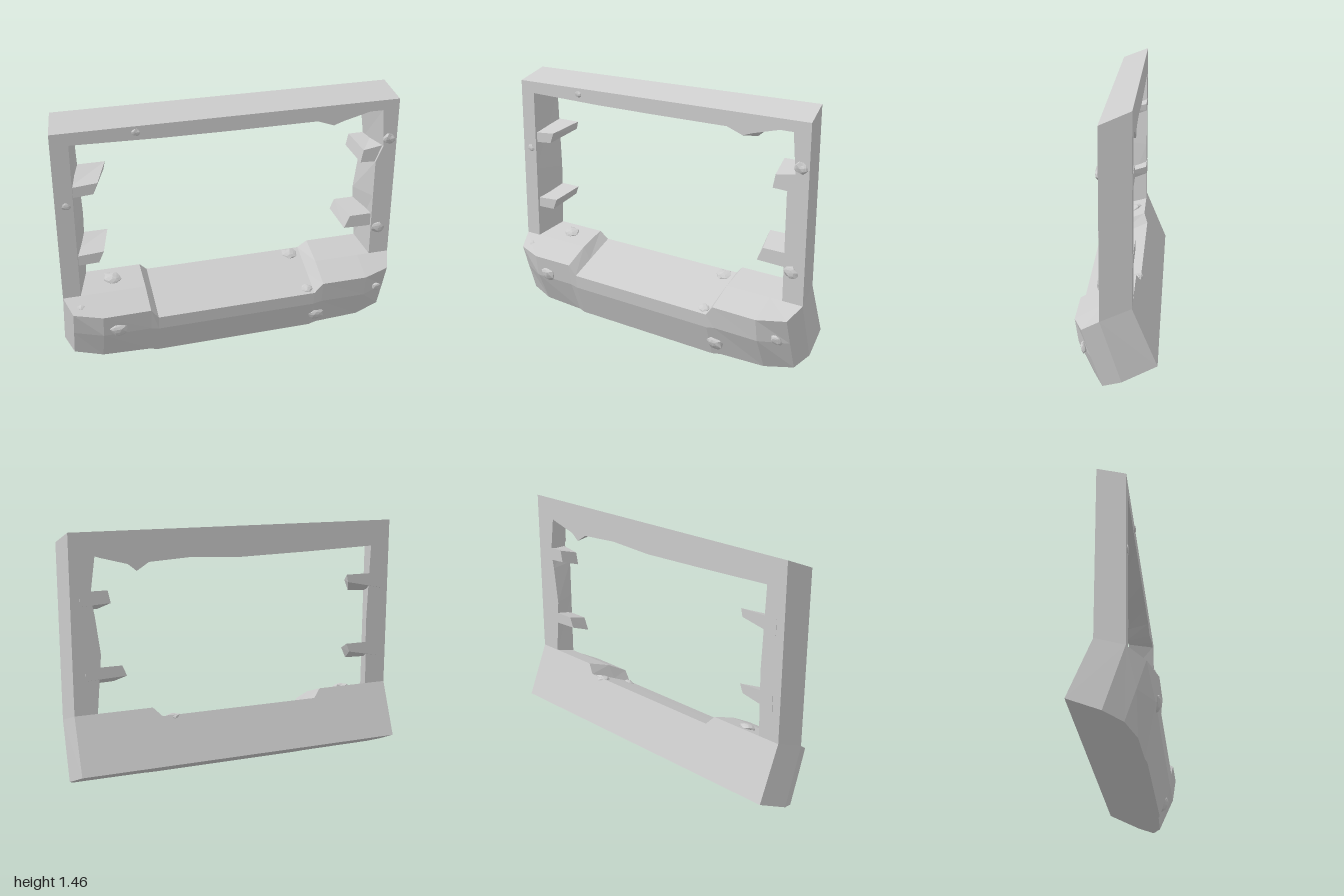
import * as THREE from 'three';

const material = new THREE.MeshStandardMaterial({ color: 0xcccccc, flatShading: true });

// Skin a row of equal-sized closed sections [[x, y, z], ...], optionally capping both ends
function loft(name, sections, capped = true) {
  const pos = [];
  const tri = (...corners) => corners.forEach((p) => pos.push(...p));
  const n = sections[0].length;
  for (let s = 0; s + 1 < sections.length; s++) {
    const p = sections[s], q = sections[s + 1];
    for (let i = 0; i < n; i++) {
      const j = (i + 1) % n;
      tri(p[i], p[j], q[j]);
      tri(p[i], q[j], q[i]);
    }
  }
  if (capped) {
    const first = sections[0], last = sections[sections.length - 1];
    for (let k = 2; k < n; k++) {
      const a = k, b = (k + 1) % n;
      tri(last[1], last[a], last[b]);
      tri(first[1], first[b], first[a]);
    }
  }
  const geometry = new THREE.BufferGeometry();
  geometry.setAttribute('position', new THREE.Float32BufferAttribute(pos, 3));
  geometry.computeVertexNormals();
  const mesh = new THREE.Mesh(geometry, material);
  mesh.name = name;
  return mesh;
}

// Tilted base: sections along x, with a shallow recess in the middle of the top
function makeBase() {
  const section = (x, notched, ft, fm, fb, frontX = x, backX = x) => {
    const bt = notched ? [0.42, -0.111] : [0.47, -0.09];
    const mt = notched ? [0.335, 0.07] : [0.41, 0.07];
    return [
      [backX, ...bt], [x, ...mt], [frontX, ...ft], [frontX, ...fm],
      [frontX, ...fb], [x, 0.08, -0.04], [backX, 0.16, -0.22],
    ];
  };
  const end = (s) => section(s, false, [0.345, 0.165], [0.2, 0.117], [0.035, 0.06], s * 0.96, s * 0.97);
  const shoulder = (s) => section(s * 0.8, false, [0.33, 0.215], [0.2, 0.195], [0.015, 0.11]);
  const lip = (s) => section(s * 0.525, false, [0.33, 0.213], [0.2, 0.195], [0.01, 0.12]);
  const recess = (x) => section(x, true, [0.27, 0.203], [0.19, 0.195], [0.004, 0.13]);
  return loft('base', [
    end(-1), shoulder(-1), lip(-1), recess(-0.48), recess(0), recess(0.475),
    lip(1), shoulder(1), end(1),
  ]);
}

// Upright frame: each row is outer front, inner front, inner back, outer back as x, y
function makeFrame() {
  const rows = [
    [-1, 0.41, -0.9, 0.41, -0.84, 0.47, -0.97, 0.47],
    [-1, 0.85, -0.9, 0.85, -0.832, 0.85, -0.97, 0.85],
    [-1, 1.4, -0.9, 1.33, -0.85, 1.315, -0.97, 1.465],
    [-0.4, 1.4, -0.4, 1.318, -0.4, 1.3, -0.4, 1.465],
    [0, 1.4, 0, 1.315, 0, 1.29, 0, 1.465],
    [0.28, 1.4, 0.28, 1.315, 0.28, 1.305, 0.28, 1.465],
    [0.53, 1.4, 0.5, 1.315, 0.53, 1.29, 0.53, 1.465],
    [0.6, 1.4, 0.6, 1.28, 0.6, 1.245, 0.6, 1.465],
    [0.65, 1.4, 0.66, 1.3, 0.65, 1.285, 0.65, 1.465],
    [0.8, 1.4, 0.82, 1.34, 0.8, 1.325, 0.8, 1.465],
    [1, 1.4, 0.9, 1.34, 0.83, 1.335, 0.97, 1.465],
    [1, 1.12, 0.92, 1.12, 0.86, 1.12, 0.97, 1.12],
    [1, 1.02, 0.876, 1.02, 0.84, 1.02, 0.97, 1.02],
    [1, 0.8, 0.876, 0.8, 0.812, 0.8, 0.97, 0.8],
    [1, 0.41, 0.876, 0.41, 0.84, 0.47, 0.97, 0.47],
  ];
  const zs = [0.07, 0.07, -0.09, -0.09];
  return loft('frame', rows.map((r) => zs.map((z, i) => [r[2 * i], r[2 * i + 1], z])), false);
}

// Prongs: back and front faces listed counter-clockwise from lower left
function makeProngs() {
  const group = new THREE.Group();
  group.name = 'prongs';
  const faces = {
    upperRightProng: [
      [[-0.92, 1.06], [-0.7, 1.105], [-0.69, 1.15], [-0.92, 1.15]],
      [[-0.92, 1.02], [-0.785, 1.03], [-0.76, 1.093], [-0.92, 1.08]],
    ],
    lowerRightProng: [
      [[-0.92, 0.64], [-0.72, 0.68], [-0.7, 0.73], [-0.92, 0.73]],
      [[-0.97, 0.6], [-0.78, 0.605], [-0.75, 0.67], [-0.97, 0.655]],
    ],
    upperLeftProng: [
      [[0.75, 1.08], [0.92, 1.07], [0.92, 1.15], [0.765, 1.15]],
      [[0.785, 1.025], [0.9, 1.02], [0.93, 1.12], [0.8, 1.1]],
    ],
    lowerLeftProng: [
      [[0.67, 0.67], [0.9, 0.66], [0.9, 0.73], [0.695, 0.73]],
      [[0.705, 0.605], [0.9, 0.6], [0.9, 0.68], [0.74, 0.68]],
    ],
  };
  for (const [name, [back, front]] of Object.entries(faces)) {
    group.add(loft(name, [
      back.map(([x, y]) => [x, y, -0.092]),
      front.map(([x, y]) => [x, y, 0.06]),
    ]));
  }
  return group;
}

// Small rough lumps stuck on the surfaces: x, y, z, radius, tilt about x
function makeLumps() {
  const group = new THREE.Group();
  group.name = 'lumps';
  const spots = [
    [-0.71, 0.225, 0.2, 0.055, 0.2], [-0.7, 0.445, -0.02, 0.055, -1.2],
    [-0.91, 0.37, 0.13, 0.026, -1.1], [-0.94, 0.98, 0.07, 0.027, 0],
    [-0.54, 1.365, 0.07, 0.027, 0], [0.9, 0.22, 0.16, 0.038, 0.3],
    [0.51, 0.085, 0.155, 0.057, 0.4], [0.41, 0.4, -0.08, 0.055, -1.2],
    [0.44, 0.285, 0.165, 0.04, -1.1], [0.92, 0.585, 0.07, 0.045, 0],
    [0.95, 1.16, 0.07, 0.043, 0],
  ];
  spots.forEach(([x, y, z, r, tilt], k) => {
    const geometry = new THREE.IcosahedronGeometry(r, 1);
    const p = geometry.attributes.position;
    const v = new THREE.Vector3();
    for (let i = 0; i < p.count; i++) {
      v.fromBufferAttribute(p, i);
      const u = v.clone().divideScalar(r);
      const bump = 0.92 + 0.16 * Math.sin(5 * u.x + 3 * u.y + k) * Math.cos(4 * u.y - 3 * u.z + 2 * k);
      p.setXYZ(i, v.x * bump, v.y * bump * 0.8, v.z * bump * 0.4);
    }
    geometry.computeVertexNormals();
    const lump = new THREE.Mesh(geometry, material);
    lump.name = 'lump';
    lump.position.set(x, y, z);
    lump.rotation.set(tilt, 0, -0.3);
    group.add(lump);
  });
  return group;
}

export function createModel() {
  const model = new THREE.Group();
  model.name = 'windowFrame';
  model.add(makeBase(), makeFrame(), makeProngs(), makeLumps());
  return model;
}
